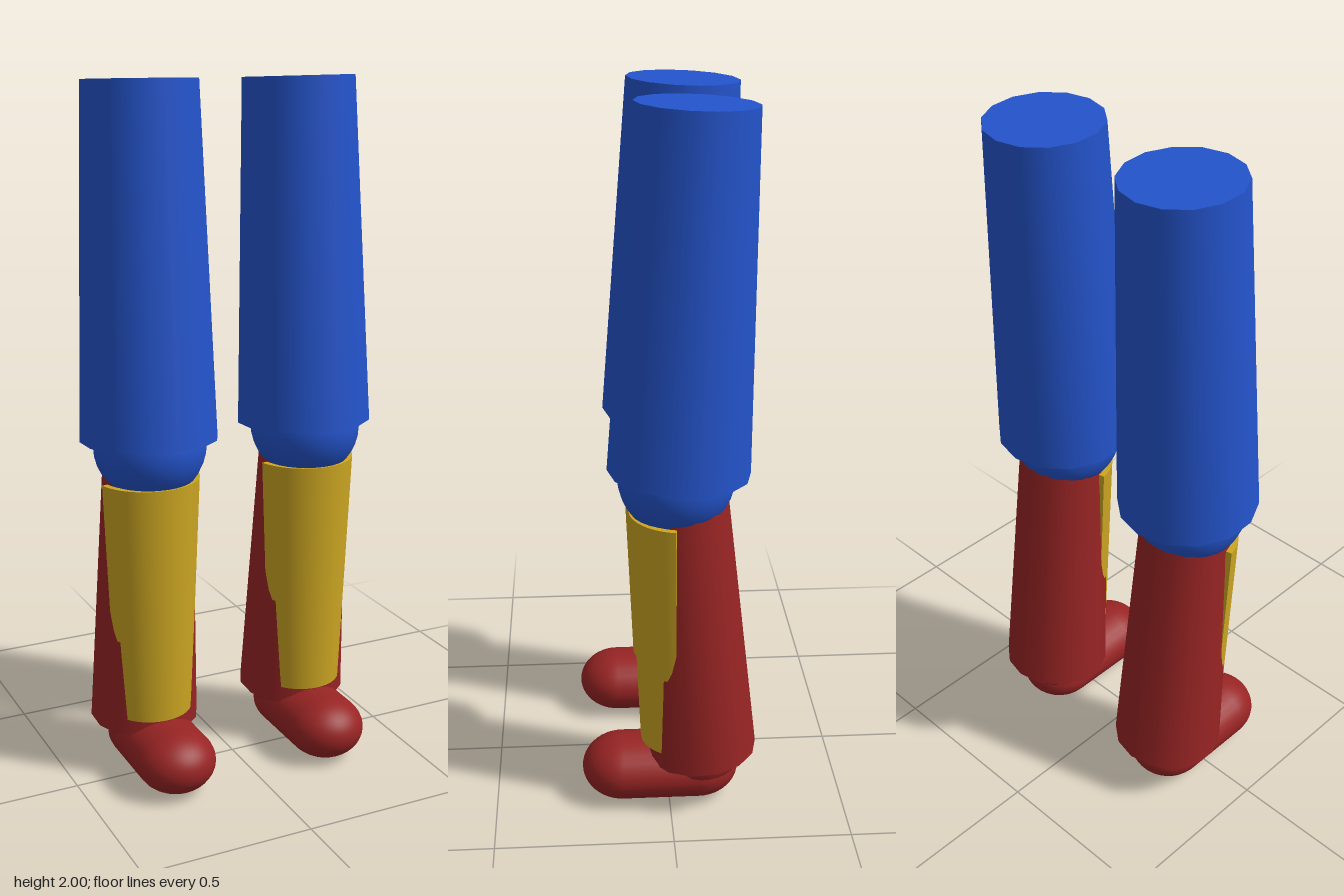
import * as THREE from 'three';
import { toCreasedNormals } from 'three/addons/utils/BufferGeometryUtils.js';

const blue = new THREE.MeshStandardMaterial({ name: 'blue', color: 0x2454cc });
const red = new THREE.MeshStandardMaterial({ name: 'darkRed', color: 0x982424 });
const yellow = new THREE.MeshStandardMaterial({ name: 'mustardYellow', color: 0xcca622 });

function part(name, geometry, material, x = 0, y = 0, z = 0) {
  const mesh = new THREE.Mesh(geometry, material);
  mesh.name = name;
  mesh.position.set(x, y, z);
  return mesh;
}

// Tapered 14-sided limb running from point a (bottom) to point b (top)
function limb(name, a, b, rBottom, rTop, material) {
  const from = new THREE.Vector3(...a);
  const to = new THREE.Vector3(...b);
  const dir = to.clone().sub(from);
  const geometry = new THREE.CylinderGeometry(rTop, rBottom, dir.length(), 14);
  const mesh = part(name, geometry, material);
  mesh.position.copy(from).add(to).multiplyScalar(0.5);
  mesh.quaternion.setFromUnitVectors(new THREE.Vector3(0, 1, 0), dir.normalize());
  return mesh;
}

// Curved plate wrapping the front of the shin, narrowing downwards
function shinGuardGeometry(height, rTop, rBottom, thickness, halfAngle) {
  const mid = -Math.PI / 2;
  const shape = new THREE.Shape();
  shape.absarc(0, 0, rTop, mid - halfAngle, mid + halfAngle, false);
  shape.absarc(0, 0, rTop - thickness, mid + halfAngle, mid - halfAngle, true);
  const geometry = new THREE.ExtrudeGeometry(shape, { depth: height, bevelEnabled: false, curveSegments: 14 });
  geometry.rotateX(-Math.PI / 2);
  const pos = geometry.attributes.position;
  for (let i = 0; i < pos.count; i++) {
    const s = THREE.MathUtils.lerp(rBottom / rTop, 1, pos.getY(i) / height);
    pos.setX(i, pos.getX(i) * s);
    pos.setZ(i, pos.getZ(i) * s);
  }
  return toCreasedNormals(geometry, 0.7);
}

function createLeg(side) {
  const leg = new THREE.Group();
  leg.name = side > 0 ? 'leftLeg' : 'rightLeg';

  leg.add(limb('thigh', [side * 0.245, 1.015, -0.028], [side * 0.238, 1.993, -0.071], 0.196, 0.161, blue));
  leg.add(part('knee', new THREE.SphereGeometry(0.16, 28, 18), blue, side * 0.247, 1.0, -0.02));
  leg.add(limb('shin', [side * 0.248, 0.148, -0.094], [side * 0.248, 0.925, -0.035], 0.16, 0.13, red));
  leg.add(part('shinGuard', shinGuardGeometry(0.71, 0.15, 0.12, 0.018, 1.37), yellow, side * 0.249, 0.19, -0.04));
  leg.add(part('ankle', new THREE.SphereGeometry(0.123, 28, 18), red, side * 0.247, 0.15, -0.088));

  // Flattened capsule foot pointing forward
  const footGeometry = new THREE.CapsuleGeometry(0.116, 0.22, 12, 28);
  footGeometry.rotateX(Math.PI / 2);
  footGeometry.scale(1, 0.78, 1);
  leg.add(part('foot', footGeometry, red, side * 0.245, 0.0905, 0.024));
  return leg;
}

export function createModel() {
  const model = new THREE.Group();
  model.name = 'pairOfLegs';
  for (const side of [1, -1]) model.add(createLeg(side));
  return model;
}
